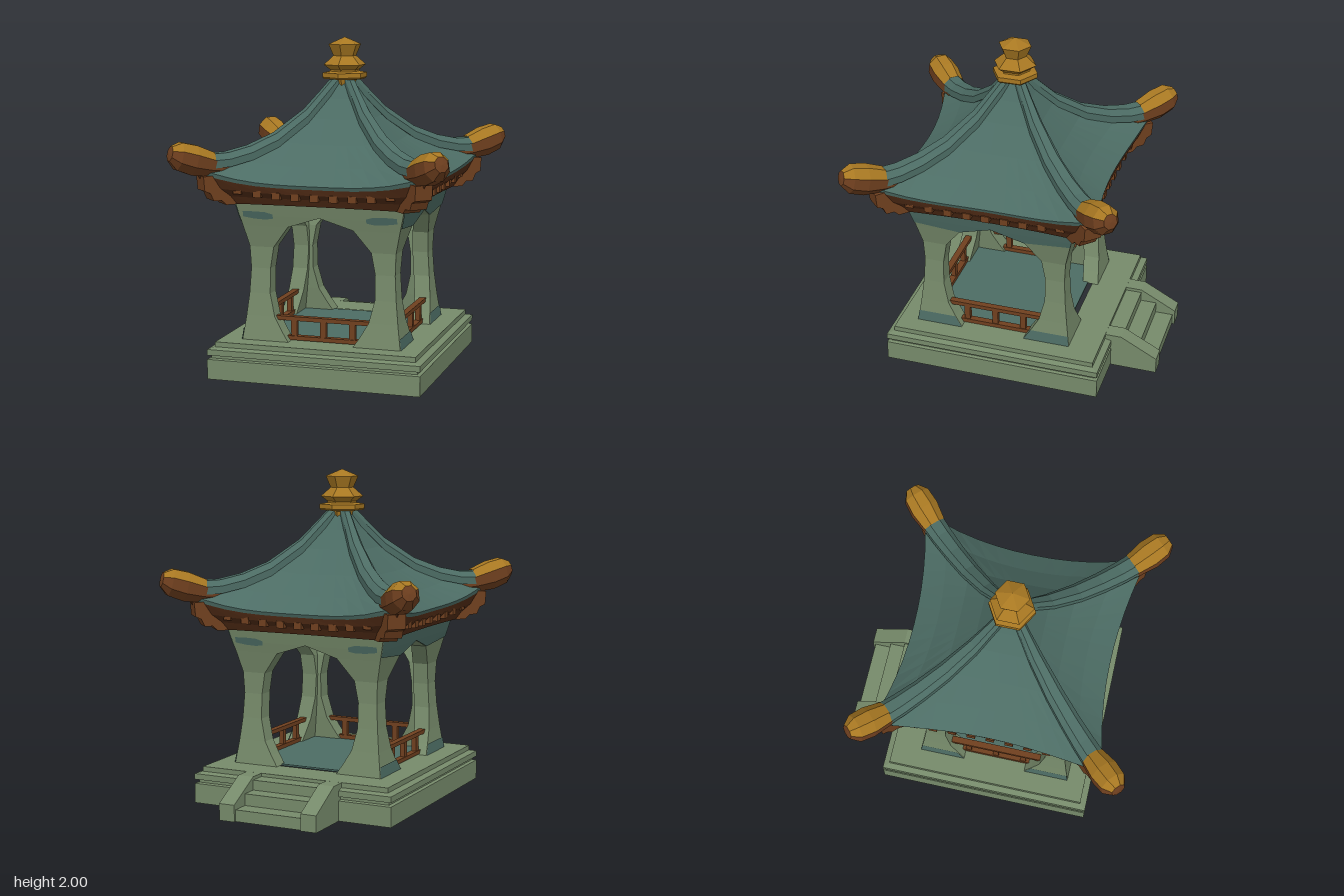
import * as THREE from 'three';

const mat = (name, color) => {
  const m = new THREE.MeshStandardMaterial({ color, flatShading: true, side: THREE.DoubleSide });
  m.name = name;
  return m;
};

export function createModel() {
  const stone = mat('sage stone', 0x768a6a);
  const teal = mat('teal tile', 0x4c6c64);
  const wood = mat('brown wood', 0x70401f);
  const darkWood = mat('dark eave wood', 0x502b15);
  const gold = mat('old gold', 0xa87822);

  const root = new THREE.Group();
  root.name = 'pavilion';
  const group = (name, parent) => {
    const g = new THREE.Group();
    g.name = name;
    parent.add(g);
    return g;
  };
  const add = (name, geo, material, parent) => {
    const m = new THREE.Mesh(geo, material);
    m.name = name;
    parent.add(m);
    return m;
  };
  const box = (name, x0, x1, y0, y1, z0, z1, material, parent) =>
    add(name, new THREE.BoxGeometry(x1 - x0, y1 - y0, z1 - z0), material, parent)
      .position.set((x0 + x1) / 2, (y0 + y1) / 2, (z0 + z1) / 2);
  // Skin a row of cross-sections, each a list of [x, y, z]
  const loft = (rings, closed = false) => {
    const pos = [];
    for (let i = 0; i + 1 < rings.length; i++) {
      const a = rings[i], b = rings[i + 1], n = a.length;
      for (let j = 0; j < (closed ? n : n - 1); j++) {
        const k = (j + 1) % n;
        pos.push(...a[j], ...a[k], ...b[k], ...a[j], ...b[k], ...b[j]);
      }
    }
    const g = new THREE.BufferGeometry();
    g.setAttribute('position', new THREE.Float32BufferAttribute(pos, 3));
    g.computeVertexNormals();
    return g;
  };

  // Hollow stepped plinth
  const plinth = [[.65, 0], [.65, .12], [.63, .125], [.63, .14], [.65, .145],
    [.65, .18], [.613, .19], [.613, .22], [.4, .22]];
  const base = group('base', root);
  base.position.set(-.01, 0, .035);
  add('plinth', loft(plinth.map(([r, y]) => {
    const d = r * 1.035;
    return [[r, y, d], [r, y, -d], [-r, y, -d], [-r, y, d]];
  }), true), stone, base);

  // Back stairs between sloping cheeks
  const stairs = group('stairs', root);
  [[.07, -.91], [.14, -.8], [.2, -.7]].forEach(([y, z], i) =>
    box('step' + (i + 1), -.235, .2, y - .07, y, z, -.6, stone, stairs));
  const cheek = new THREE.Shape([[.6, 0], [.925, 0], [.925, .1], [.7, .22], [.6, .22]]
    .map(p => new THREE.Vector2(...p)));
  for (const x of [-.33, .2]) {
    const m = add('stairCheek', new THREE.ExtrudeGeometry(cheek, { depth: .1, bevelEnabled: false }), stone, stairs);
    m.rotation.y = Math.PI / 2;
    m.position.x = x;
  }

  const house = group('house', root);
  house.position.set(-.005, 0, .07);
  box('floor', -.42, .42, .215, .225, -.42, .42, teal, house);

  // Flared corner pillars that merge into arches: [y, outer half, opening half]
  const rows = [[.22, .487, .2], [.285, .478, .243], [.365, .467, .29], [.5, .452, .323], [.65, .443, .323],
    [.78, .449, .3], [.91, .48, .2], [.975, .497, 0], [1.06, .517, 0]];
  const t = .1;
  const pillar = loft(rows.map(([y, p, h]) =>
    [[p, y, p], [h, y, p], [h, y, p - t], [p - t, y, p - t], [p - t, y, h], [p, y, h]]), true);
  // Painted bands on the two side walls
  const e = .005;
  const strip = list => loft(list.map(([y, p, h]) => [[p + e, y, h], [p + e, y, p]]));
  const footBand = strip(rows.slice(0, 2));
  const topBand = loft([[[.48 + e, .91, .2], [.486 + e, .935, .486]],
    ...rows.slice(7).map(([y, p, h]) => [[p + e, y, h], [p + e, y, p]])]);
  const patch = loft([[-.47, .965, .998], [-.4, .955, 1], [-.33, .952, .998], [-.285, .96, .985]]
    .map(([x, a, b]) => [a, b].map(y => [x, y, .48 + (y - .91) * .264 + e])));
  for (let k = 0; k < 4; k++)
    add('pillar', pillar, stone, house).rotation.y = k * Math.PI / 2;
  for (const sx of [1, -1]) for (const sz of [1, -1]) {
    add('footPaint', footBand, teal, house).scale.set(sx, 1, sz);
    add('topPaint', topBand, teal, house).scale.set(sx, 1, sz);
    add('wallPatch', patch, teal, house).scale.set(sx, 1, sz);
  }

  // Railings on the front and both sides
  for (let k = -1; k <= 1; k++) {
    const rail = group('railing', house);
    rail.rotation.y = k * Math.PI / 2;
    box('topRail', -.3, .3, .342, .367, .4, .44, wood, rail);
    box('bottomRail', -.23, .23, .225, .25, .4, .44, wood, rail);
    for (const x of [-.18, 0, .18])
      box('railPost', x - .018, x + .018, .24, .35, .405, .435, wood, rail);
  }

  // Curved roof: [mid reach, corner reach, mid height, corner height]
  const N = 12;
  const eaveRow = ([rm, rc, ym, yc]) => Array.from({ length: N + 1 }, (_, i) => {
    const s = i / N * 2 - 1;
    return [s * rc, ym + (yc - ym) * Math.abs(s) ** 3, rm + (rc - rm) * s * s];
  });
  const lip = [.597, .69, 1.155, 1.245];
  const tiles = loft([[.05, .05, 1.74, 1.74], [.11, .11, 1.635, 1.64], [.19, .19, 1.52, 1.53], [.32, .33, 1.38, 1.405],
    [.46, .52, 1.265, 1.315], [.605, .7, 1.175, 1.28], lip].map(eaveRow));
  const soffit = loft([lip, [.59, .65, 1.12, 1.16], [.56, .6, 1.09, 1.1],
    [.54, .57, 1.048, 1.05], [.49, .49, 1.045, 1.045]].map(eaveRow));

  // Corner parts lie along local +x, turned onto the diagonal
  const D = Math.SQRT2;
  const ridge = loft([[.04, 1.745, .03], [.11, 1.645, .035], [.19, 1.535, .045], [.33, 1.405, .055],
    [.45, 1.34, .06], [.55, 1.31, .065], [.68, 1.305, .07]].map(([r, y, w]) =>
    [[-w, -.04], [-w, .005], [-w * .5, .04], [w * .5, .04], [w, .005], [w, -.04]]
      .map(([z, dy]) => [r * D, y + dy, z])), true);
  const capPath = [[.76, 1.26, .05], [.88, 1.285, .075], [.99, 1.315, .092], [1.08, 1.343, .085], [1.13, 1.36, .045]];
  const arc = ([d, y, r], from, count) => Array.from({ length: count + 1 }, (_, i) => {
    const a = (from + i + .5) * Math.PI / 4;
    return [d - Math.sin(a) * r * .25, y + Math.sin(a) * r, Math.cos(a) * r];
  });
  const capTop = loft(capPath.slice(1).map(s => arc(s, 0, 3)));
  const capBelly = loft(capPath.map(s => arc(s, 3, 5)));
  const capEnd = loft([[1.13, 1.36, .045], [1.135, 1.36, 0]].map(s => arc(s, 0, 8)));
  const bracketShape = new THREE.Shape([[.48, 1.047], [.57, 1.047], [.59, 1.075], [.625, 1.075], [.64, 1.12],
    [.665, 1.135], [.67, 1.22], [.56, 1.23], [.48, 1.15]].map(([r, y]) => new THREE.Vector2(r * D, y)));
  const bracket = new THREE.ExtrudeGeometry(bracketShape, { depth: .11, bevelEnabled: false });
  bracket.translate(0, 0, -.055);

  const roof = group('roof', house);
  for (let k = 0; k < 4; k++) {
    const side = group('roofSide', roof);
    side.rotation.y = k * Math.PI / 2;
    add('tiles', tiles, teal, side);
    add('soffit', soffit, darkWood, side);
    for (let i = -4; i <= 4; i++) {
      const x = i * .115, lift = .03 * Math.abs(i / 4) ** 3;
      box('rafterEnd', x - .025, x + .025, 1.085 + lift, 1.125 + lift, .54, .598 + x * x * .1, wood, side);
    }
    const corner = group('roofCorner', side);
    corner.rotation.y = -Math.PI / 4;
    add('ridge', ridge, teal, corner);
    add('ridgeCapTop', capTop, gold, corner);
    add('ridgeCapBelly', capBelly, wood, corner);
    add('ridgeCapEnd', capEnd, wood, corner);
    add('cornerBracket', bracket, wood, corner);
  }

  // Six-sided finial
  const finial = new THREE.LatheGeometry([[0, 1.67], [.06, 1.69], [.075, 1.745], [.128, 1.75], [.138, 1.76],
    [.138, 1.787], [.09, 1.795], [.09, 1.805], [.13, 1.835], [.07, 1.888], [.1, 1.957], [0, 2]]
    .map(p => new THREE.Vector2(...p)), 6).toNonIndexed();
  finial.computeVertexNormals();
  add('finial', finial, gold, house);

  return root;
}
